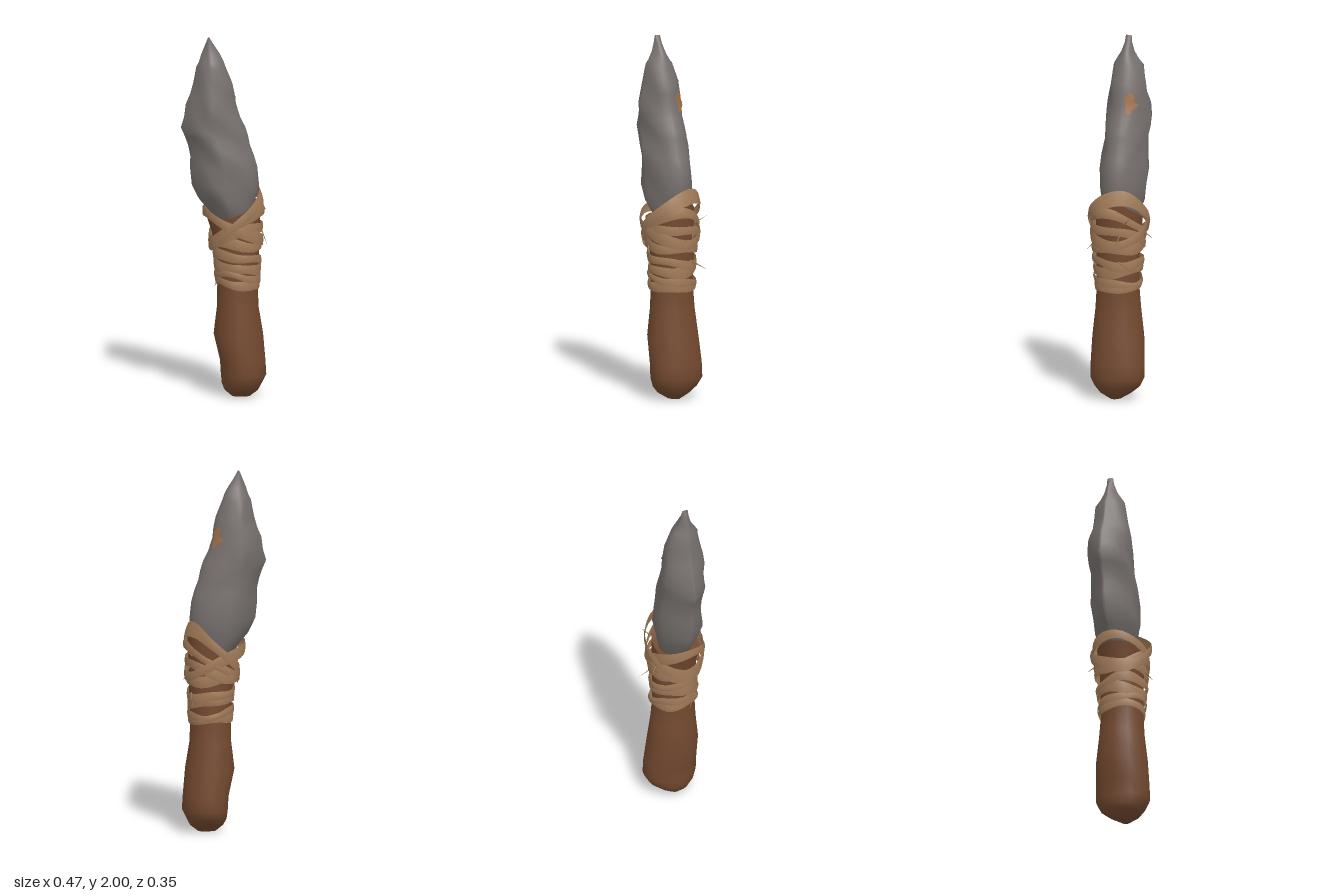
import * as THREE from 'three';

const stone = new THREE.MeshStandardMaterial({ color: 0x77716e, name: 'stone' });
const wood = new THREE.MeshStandardMaterial({ color: 0x744a30, name: 'wood' });
const fibre = new THREE.MeshStandardMaterial({ color: 0xa27b59, name: 'fibre', side: THREE.DoubleSide });
const stain = new THREE.MeshStandardMaterial({ color: 0xa07048, name: 'stain', side: THREE.DoubleSide });

// Rows of sections: [y, xLeft, xRight, zBack, zFront]
const handleRows = [
  [0.00, 0.04, 0.14, -0.03, 0.03], [0.035, 0.0, 0.185, -0.09, 0.09], [0.07, -0.015, 0.205, -0.135, 0.12],
  [0.12, -0.02, 0.23, -0.163, 0.14], [0.2, -0.025, 0.225, -0.162, 0.14], [0.35, -0.06, 0.212, -0.15, 0.137],
  [0.5, -0.042, 0.187, -0.133, 0.122], [0.62, -0.04, 0.183, -0.122, 0.115], [0.8, -0.05, 0.19, -0.122, 0.115],
  [0.9, -0.065, 0.192, -0.125, 0.12], [1.04, -0.1, 0.2, -0.13, 0.125],
];
const bladeRows = [
  [0.93, -0.03, 0.12, -0.07, 0.06], [1.03, -0.08, 0.15, -0.11, 0.095], [1.1, -0.14, 0.17, -0.135, 0.115],
  [1.18, -0.18, 0.19, -0.145, 0.128], [1.28, -0.19, 0.18, -0.145, 0.122], [1.34, -0.188, 0.163, -0.14, 0.12],
  [1.4, -0.2, 0.14, -0.143, 0.117], [1.45, -0.218, 0.13, -0.14, 0.117], [1.5, -0.24, 0.115, -0.14, 0.115],
  [1.56, -0.222, 0.085, -0.14, 0.112], [1.63, -0.213, 0.062, -0.138, 0.108], [1.69, -0.188, 0.055, -0.125, 0.1],
  [1.75, -0.172, 0.042, -0.115, 0.092], [1.84, -0.155, 0.005, -0.095, 0.075], [1.87, -0.14, -0.005, -0.07, 0.055],
  [1.91, -0.128, -0.025, -0.045, 0.03], [1.96, -0.108, -0.058, -0.03, 0.015], [2.0, -0.092, -0.082, -0.025, 0.01],
];

// Interpolated section at a height
function sectionAt(rows, y) {
  let i = 0;
  while (i < rows.length - 2 && y > rows[i + 1][0]) i++;
  const [a, b] = [rows[i], rows[i + 1]];
  const t = THREE.MathUtils.clamp((y - a[0]) / (b[0] - a[0]), 0, 1);
  const [, l, r, k, f] = a.map((v, n) => v + (b[n] - v) * t);
  return { cx: (l + r) / 2, rx: (r - l) / 2, cz: (k + f) / 2, rz: (f - k) / 2 };
}

// Skin over a grid of points; point(row, angle) returns [x, y, z]
function loft(rowCount, sides, point, from = 0, to = Math.PI * 2) {
  const closed = to - from > 6.28;
  const cols = closed ? sides : sides + 1;
  const pos = [], idx = [];
  for (let i = 0; i < rowCount; i++)
    for (let j = 0; j < cols; j++) pos.push(...point(i, from + (to - from) * j / sides));
  for (let i = 0; i < rowCount - 1; i++)
    for (let j = 0; j < sides; j++) {
      const k = (j + 1) % cols;
      const a = i * cols + j, b = i * cols + k, c = a + cols, d = b + cols;
      idx.push(a, c, d, a, d, b);
    }
  const g = new THREE.BufferGeometry();
  g.setAttribute('position', new THREE.Float32BufferAttribute(pos, 3));
  g.setIndex(idx);
  g.computeVertexNormals();
  return g;
}

function add(group, name, geometry, material) {
  const m = new THREE.Mesh(geometry, material);
  m.name = name;
  group.add(m);
  return m;
}

// Blade section: straight taper to a sharp edge at -x, narrowing to a blunt spine at +x, chipped sides
function bladePoint(y, a, grow = 0) {
  const s = sectionAt(bladeRows, y);
  const c = Math.cos(a), n = Math.sin(a);
  const x = c > 0 ? Math.pow(c, 0.6) : c;
  const z = c > 0 ? n * (1 - 0.33 * x) : Math.sign(n) * Math.pow(Math.abs(n), 1.9);
  const chip = 1 + 0.06 * Math.sin(y * 23 + c * 5 + n * 2) * Math.abs(n) - 0.02;
  return [s.cx + (s.rx + grow) * x, y, s.cz + (s.rz * chip + grow) * z];
}

// Handle wall, with an uneven notched rim at the top
function handlePoint(i, a) {
  const last = handleRows.length - 1;
  const s = sectionAt(handleRows, handleRows[i][0]);
  const rim = i === last ? 0.05 * Math.cos(a) + 0.02 * Math.cos(2 * a) : 0;
  return [s.cx + s.rx * Math.cos(a), handleRows[i][0] + rim, s.cz + s.rz * Math.sin(a)];
}

// One flat strip wound round the handle, tilted along x and z, leaning onto the blade where it rises
function wrapStrip([y0, tiltX, tiltZ, offset, width], n) {
  return loft(3, 28, (i, a) => {
    const mid = y0 + tiltX * Math.cos(a) + tiltZ * Math.sin(a) + 0.007 * Math.sin(3 * a + n * 2);
    const s = sectionAt(handleRows, mid);
    const w = width * (1 + 0.2 * Math.sin(2 * a + n));
    const y = mid + (i - 1) * w / 2;
    const out = offset + (i === 1 ? 0.005 : 0) + 0.004 * Math.sin(4 * a + n);
    const lean = Math.max(0, y - 1.05) * 0.3 * Math.max(0, Math.cos(a));
    return [s.cx + (s.rx + out * 0.6) * Math.cos(a) - lean, y, s.cz + (s.rz + out) * Math.sin(a)];
  });
}

export function createModel() {
  const model = new THREE.Group();
  model.name = 'stoneKnife';

  // Blade with closed ends
  const tip = bladeRows.length;
  add(model, 'blade', loft(tip + 2, 24, (i, a) => {
    if (i === 0 || i === tip + 1) {
      const y = bladeRows[i === 0 ? 0 : tip - 1][0], s = sectionAt(bladeRows, y);
      return [s.cx, y, s.cz];
    }
    return bladePoint(bladeRows[i - 1][0], a);
  }), stone);

  // Ragged stain on the back corner of the spine
  add(model, 'bladeStain', loft(8, 6, (i, a) => {
    const y = 1.585 + i * 0.0165;
    const mid = -0.62 + 0.1 * Math.sin(i * 1.7);
    const half = 0.36 * Math.sin((i + 0.7) / 8.4 * Math.PI) * (0.9 + 0.2 * Math.cos(i * 2.3));
    return bladePoint(y, mid + half * a, 0.006);
  }, -1, 1), stain);

  // Handle wall and its two caps
  const rows = handleRows.length;
  add(model, 'handle', loft(rows, 20, handlePoint), wood);
  add(model, 'handleBase', loft(2, 20, (i, a) => (i ? handlePoint(0, a) : [0.09, 0, 0])), wood);
  add(model, 'handleTop', loft(2, 20, (i, a) => (i ? [0.05, 0.98, 0] : handlePoint(rows - 1, a))), wood);

  // Binding: [height, tilt along x, tilt along z, offset, width]
  const binding = new THREE.Group();
  binding.name = 'binding';
  model.add(binding);
  [
    [0.64, -0.012, 0.0, 0.012, 0.05], [0.672, -0.02, 0.015, 0.016, 0.04],
    [0.735, -0.015, -0.01, 0.014, 0.06], [0.78, -0.02, 0.015, 0.02, 0.05],
    [0.865, -0.02, 0.0, 0.022, 0.055], [0.91, 0.045, 0.02, 0.028, 0.055],
    [0.955, -0.08, 0.0, 0.034, 0.06], [0.955, 0.09, 0.02, 0.03, 0.05],
    [1.0, 0.13, -0.03, 0.04, 0.07],
  ].forEach((w, n) => add(binding, 'wrapStrip' + (n + 1), wrapStrip(w, n), fibre));

  // Frayed ends sticking out: base then tip
  [
    [[0.2, 0.93, -0.06], [0.235, 0.84, -0.03]], [[0.19, 0.99, -0.08], [0.235, 1.03, -0.128]],
    [[0.01, 0.92, -0.14], [-0.02, 0.88, -0.178]], [[0.06, 0.86, 0.14], [0.105, 0.82, 0.17]],
    [[-0.06, 0.89, 0.05], [-0.085, 0.83, 0.03]], [[0.19, 0.78, -0.05], [0.205, 0.72, -0.15]],
    [[-0.03, 0.66, 0.06], [-0.06, 0.62, 0.04]],
  ].forEach(([b, t], n) => {
    const base = new THREE.Vector3(...b), dir = new THREE.Vector3(...t).sub(base);
    const len = dir.length();
    const g = new THREE.ConeGeometry(0.005, len, 4).translate(0, len / 2, 0);
    const m = add(binding, 'frayedEnd' + (n + 1), g, fibre);
    m.position.copy(base);
    m.quaternion.setFromUnitVectors(new THREE.Vector3(0, 1, 0), dir.normalize());
  });

  return model;
}
